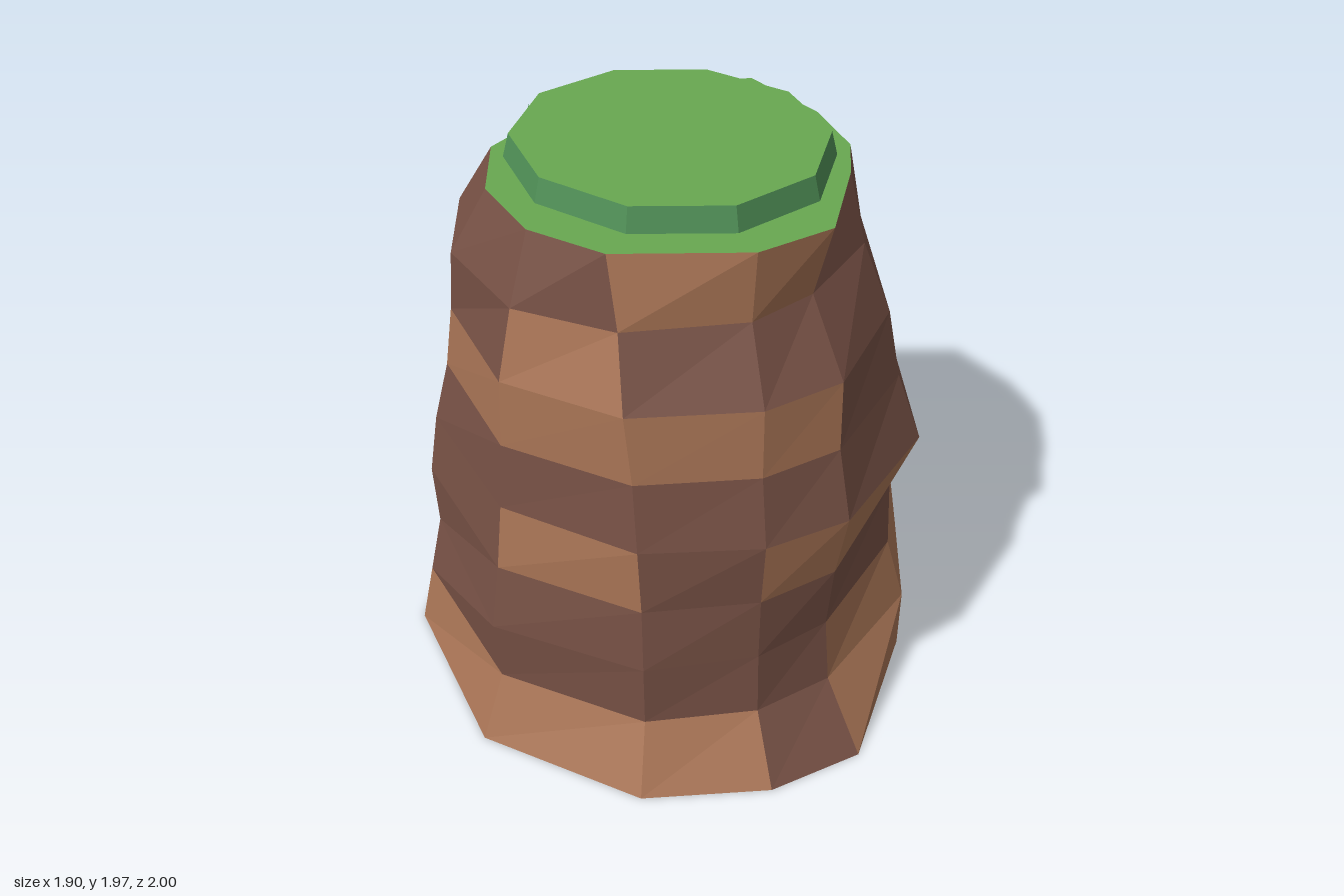
import * as THREE from 'three';

const { lerp, degToRad } = THREE.MathUtils;
const ROCK_HEIGHT = 1.89;

// Column angles in degrees, from the front (+z) round through +x
const LOW_ANGLES = [1, 37, 65, 90, 116, 150, 175, 205, 236, 278, 315, 341];
const TOP_ANGLES = [7, 41, 61, 87, 118, 154, 175, 224, 252, 279, 304, 343];

// Columns whose radius is given; the others blend between their neighbours
const KEY_COLUMNS = [0, 1, 3, 4, 6, 9, 12];

// Rock sections, bottom to top: radius at each key column, then the columns
// painted light brown in the band above
const SECTIONS = [
  { radii: [1, .86, .95, .98, .95, .96], light: [0, 1, 2, 3, 4, 6, 8, 9, 10] },
  { radii: [.83, .86, .9, .97, 1, .86], light: [0, 1, 2, 5, 6, 7] },
  { radii: [.8, .79, .89, .88, .81, .88], light: [2, 7] },
  { radii: [.82, .77, .87, .8, .92, .84], light: [0, 2, 3, 5, 6, 7, 9, 11] },
  { radii: [.86, .86, .74, .8, .87, .81], light: [5] },
  { radii: [.79, .77, .75, .75, .74, .79], light: [2, 3, 5, 6, 7, 8, 9, 10, 11] },
  { radii: [.77, .72, .68, .67, .67, .78], light: [6, 9] },
  { radii: [.61, .62, .62, .65, .75, .72], light: [10, 11] },
  { radii: [.66, .56, .59, .68, .57, .64], light: [] },
];

const material = (name, color) => {
  const m = new THREE.MeshStandardMaterial({ color });
  m.name = name;
  return m;
};

// Corners of one section; the columns drift to their top angles near the rim
function sectionRing({ radii }, level) {
  const t = level / (SECTIONS.length - 1);
  return LOW_ANGLES.map((low, k) => {
    const i = KEY_COLUMNS.findLastIndex((key) => key <= k);
    const blend = (k - KEY_COLUMNS[i]) / (KEY_COLUMNS[i + 1] - KEY_COLUMNS[i]);
    const r = lerp(radii[i], radii[(i + 1) % radii.length], blend);
    const a = degToRad(lerp(low, TOP_ANGLES[k], t ** 3));
    return new THREE.Vector3(r * Math.sin(a), t * ROCK_HEIGHT, r * Math.cos(a));
  });
}

// Triangle fan closing a ring, facing up or down
function fan(ring, up) {
  const centre = new THREE.Vector3(0, ring[0].y, 0);
  return ring.flatMap((p, k) => {
    const q = ring[(k + 1) % ring.length];
    return up ? [centre, p, q] : [centre, q, p];
  });
}

// Two triangles joining column k of one ring to the ring above
function quad(lower, upper, k) {
  const n = (k + 1) % lower.length;
  return [lower[k], lower[n], upper[n], lower[k], upper[n], upper[k]];
}

// Flat-shaded mesh from a list of triangle corners
function facetMesh(name, points, mat) {
  const geometry = new THREE.BufferGeometry().setFromPoints(points);
  geometry.computeVertexNormals();
  const mesh = new THREE.Mesh(geometry, mat);
  mesh.name = name;
  return mesh;
}

export function createModel() {
  const group = new THREE.Group();
  group.name = 'rockPillar';
  const darkRock = material('darkBrownRock', 0x775145);
  const lightRock = material('lightBrownRock', 0xa87455);
  const grass = material('grassGreen', 0x68a851);
  const grassEdge = material('darkGrassGreen', 0x4f8f56);

  // Rock facets, sorted by colour
  const rings = SECTIONS.map(sectionRing);
  const dark = fan(rings[0], false);
  const light = [];
  for (let b = 0; b < rings.length - 1; b++) {
    for (let k = 0; k < LOW_ANGLES.length; k++) {
      const target = SECTIONS[b].light.includes(k) ? light : dark;
      target.push(...quad(rings[b], rings[b + 1], k));
    }
  }
  group.add(facetMesh('darkRockFaces', dark, darkRock));
  group.add(facetMesh('lightRockFaces', light, lightRock));

  // Grass ledge closing the rock
  group.add(facetMesh('grassLedge', fan(rings[rings.length - 1], true), grass));

  // Raised ten-sided turf with a darker edge
  const turfGeometry = new THREE.CylinderGeometry(.5, .52, .08, 10)
    .rotateY(Math.PI / 10).scale(1, 1, 1.06).toNonIndexed();
  turfGeometry.computeVertexNormals();
  const turf = new THREE.Mesh(turfGeometry, [grassEdge, grass, grass]);
  turf.name = 'raisedTurf';
  turf.position.set(0, ROCK_HEIGHT + .04, -.02);
  group.add(turf);

  // Small tuft hanging over the back rim
  const tuftGeometry = new THREE.ConeGeometry(.05, .16, 3).toNonIndexed();
  tuftGeometry.computeVertexNormals();
  const tuft = new THREE.Mesh(tuftGeometry, grassEdge);
  tuft.name = 'hangingTuft';
  tuft.position.set(-.18, ROCK_HEIGHT - .04, -.55);
  group.add(tuft);

  return group;
}
